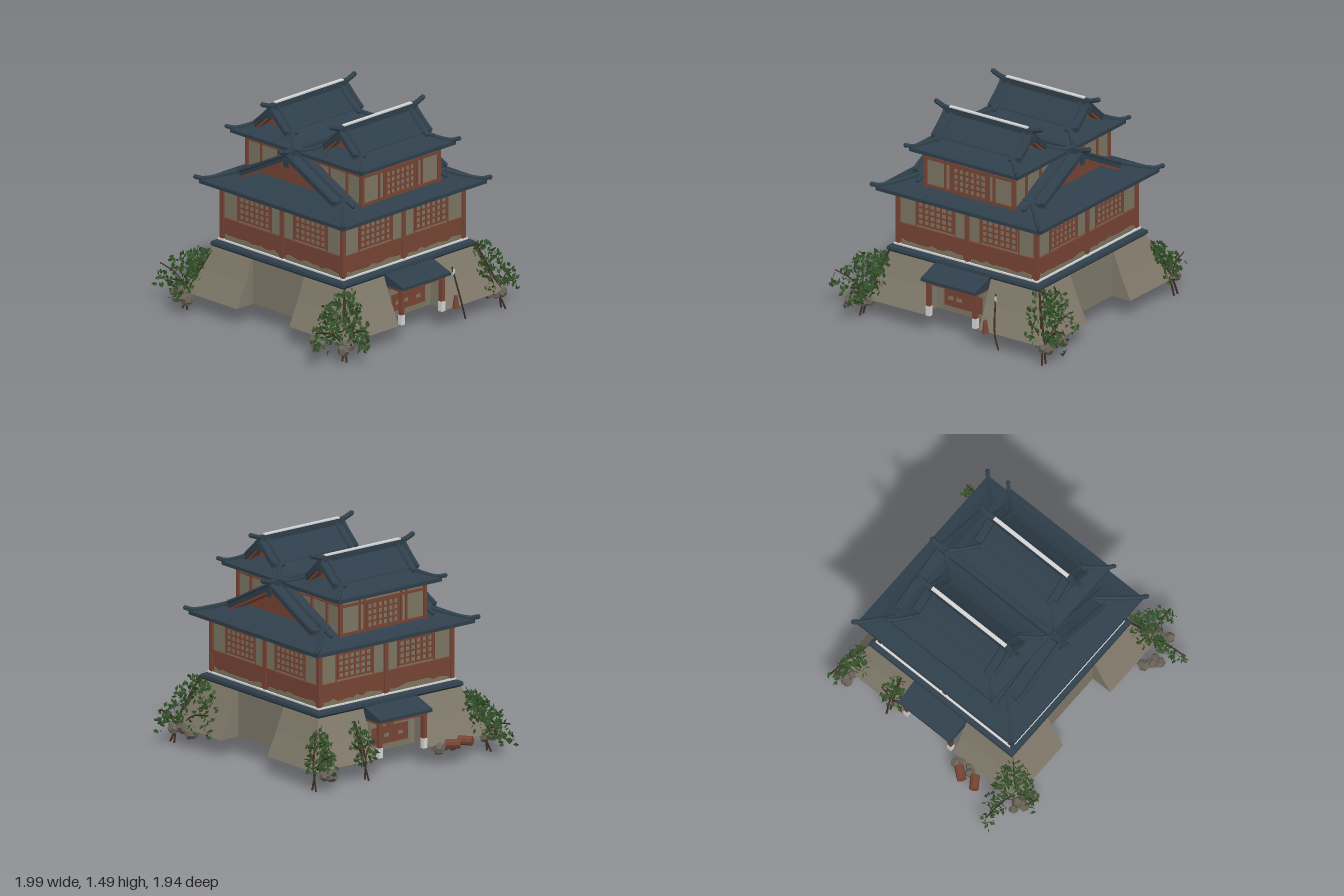
import * as THREE from 'three';
import { mergeGeometries } from 'three/addons/utils/BufferGeometryUtils.js';

const M = {};
for (const [name, color] of Object.entries({
  roofTile: 0x2f3f4b, redWood: 0x774434, plaster: 0x7c7663, stone: 0x817a6b, white: 0xd6d6d6,
  rock: 0x686157, leaf: 0x35522a, bark: 0x3f2c25,
})) {
  M[name] = new THREE.MeshStandardMaterial({ color, flatShading: true });
  M[name].name = name;
}
M.leaf.side = THREE.DoubleSide;

let seed = 7;
const rnd = () => (seed = (seed * 16807) % 2147483647) / 2147483647;
const spread = (r) => (rnd() * 2 - 1) * r;

function add(parent, name, geo, mat, x = 0, y = 0, z = 0) {
  const m = new THREE.Mesh(geo, M[mat]);
  m.name = name;
  m.position.set(x, y, z);
  parent.add(m);
  return m;
}
const box = (p, name, mat, w, h, d, x, y, z) => add(p, name, new THREE.BoxGeometry(w, h, d), mat, x, y, z);
function group(p, name, x = 0, z = 0, ry = 0) {
  const g = new THREE.Group();
  g.name = name;
  g.position.set(x, 0, z);
  g.rotation.y = ry;
  p.add(g);
  return g;
}
function tube(p, name, mat, pts, r, sides = 6) {
  const curve = new THREE.CatmullRomCurve3(pts.map((a) => new THREE.Vector3(...a)));
  const m = add(p, name, new THREE.TubeGeometry(curve, 8, r, sides), mat);
  for (const a of [pts[0], pts[pts.length - 1]]) add(p, name + 'End', new THREE.IcosahedronGeometry(r * 1.15, 0), mat, ...a);
  return m;
}

// Rectangle loop at height y, and a loft through such loops from bottom to top
const rect = (x0, x1, z0, z1, y) => [[x0, y, z1], [x1, y, z1], [x1, y, z0], [x0, y, z0]];
function loft(loops, caps = true) {
  const v = [];
  const quad = (a, b, c, d) => v.push(...a, ...b, ...c, ...a, ...c, ...d);
  for (let i = 0; i + 1 < loops.length; i++) for (let k = 0; k < 4; k++) {
    const n = (k + 1) % 4;
    quad(loops[i][k], loops[i][n], loops[i + 1][n], loops[i + 1][k]);
  }
  if (caps) {
    quad(...loops[0].slice().reverse());
    quad(...loops[loops.length - 1]);
  }
  const g = new THREE.BufferGeometry();
  g.setAttribute('position', new THREE.Float32BufferAttribute(v, 3));
  g.computeVertexNormals();
  return g;
}
function extrude(pts, half) {
  const shape = new THREE.Shape(pts.map((p) => new THREE.Vector2(...p)));
  return new THREE.ExtrudeGeometry(shape, { depth: 2 * half, bevelEnabled: false }).translate(0, 0, -half);
}

// Hip-and-gable roof: hipped skirt, gabled shell, ridges; profile lists [distance from ridge, height]
function hipGable(p, name, x, { hx, hz, inset, over, ridge, profile, lift, r }) {
  const g = group(p, name, x);
  const f = (d) => {
    let i = 1;
    while (i < profile.length - 1 && d > profile[i][0]) i++;
    const [a, b] = [profile[i - 1], profile[i]];
    return a[1] + (b[1] - a[1]) * (d - a[0]) / (b[0] - a[0]);
  };
  const loop = (t, y) => rect(-hx + t, hx - t, -hz + t, hz - t, y);
  const e = f(hx);
  add(g, 'eaveSkirt', loft([loop(0.04, e - 0.03), loop(0, e - 0.025), loop(0, e),
    ...[0.33, 0.66, 1].map((k) => loop(k * inset, f(hx - k * inset)))], false), 'roofTile');
  add(g, 'eaveSoffit', loft([loop(0.08, e - 0.05), loop(0.03, e - 0.028)]), 'redWood');
  const top = hx - inset, gz = hz - inset;
  const ds = [-1, -0.75, -0.5, -0.25, 0, 0.25, 0.5, 0.75, 1].map((k) => k * top);
  const line = (drop) => ds.map((d) => [d, f(Math.abs(d)) - drop]);
  const band = (a, b) => [...line(a), ...line(b).reverse()];
  add(g, 'gableRoof', extrude(band(-0.005, 0.025), gz + over), 'roofTile');
  add(g, 'bargeboards', extrude(band(0.025, 0.045), gz + over - 0.015), 'redWood');
  add(g, 'gableWall', extrude([...line(0.03), [top, f(top) - 0.04], [-top, f(top) - 0.04]], gz), 'redWood');
  const y0 = f(0);
  box(g, 'ridgeBeam', 'roofTile', r * 1.8, r * 2, 2 * (gz + over), 0, y0 + r * 0.7, 0);
  for (const s of [-1, 1]) {
    tube(g, 'ridgeTip', 'roofTile', [[0, y0 + r, s * (gz + over - 0.05)], [0, y0 + r * 1.3, s * (gz + over)],
      [0, y0 + lift, s * ridge]], r * 0.85);
    box(g, 'gablePendant', 'roofTile', r * 2, r * 2.6, 0.012, 0, y0 - r * 2, s * (gz + over));
    for (const t of [-1, 1]) {
      const down = (z, end) => [0, 0.33, 0.66, 1].map((k) => [t * k * end, f(k * end) + r * 0.6, s * z]);
      tube(g, 'vergeRidge', 'roofTile', down(gz, top * 1.2), r * 0.7);
      tube(g, 'vergeEdge', 'roofTile', down(gz + over - 0.01, top), r * 0.7);
      tube(g, 'hipRidge', 'roofTile', [[t * top, f(top) + r * 0.4, s * gz],
        [t * (hx - inset / 2), f(hx - inset / 2) + r * 0.4, s * (hz - inset / 2)],
        [t * (hx - 0.02), e + r * 0.4, s * (hz - 0.02)], [t * (hx + 0.015), e + r * 0.9, s * (hz + 0.015)]], r * 0.75);
    }
  }
  return g;
}

// Lattice window lying on a wall that faces +z
function lattice(p, x, y, z, w, h, cols, rows) {
  const bars = [];
  for (let i = 0; i <= cols; i++) bars.push(new THREE.BoxGeometry(0.012, h, 0.012).translate((i / cols - 0.5) * w, 0, 0));
  for (let j = 0; j <= rows; j++) bars.push(new THREE.BoxGeometry(w + 0.012, 0.012, 0.014).translate(0, (j / rows - 0.5) * h, 0));
  add(p, 'latticeWindow', mergeGeometries(bars), 'redWood', x, y, z);
}
// Ragged thin plate of exposed plaster
function patch(p, x, y, z, w, h) {
  const pts = [[-w / 2, 0], [w / 2, 0]];
  for (let i = 12; i >= 0; i--) pts.push([(i / 12 - 0.5) * w, h * (0.4 + 0.6 * rnd())]);
  add(p, 'wornPatch', extrude(pts, 0.003), 'plaster', x, y, z);
}

function stoneBase(c) {
  const g = group(c, 'stoneBase');
  box(g, 'core', 'stone', 1.2, 0.33, 1.2, 0, 0.295, 0);
  const span = (s, a, b) => (s > 0 ? [a, b] : [-b, -a]);
  for (const sx of [-1, 1]) for (const sz of [-1, 1]) {
    const at = (o, y) => rect(...span(sx, 0.245, o), ...span(sz, 0.225, o), y);
    add(g, 'cornerBastion', loft([at(0.752, 0.13), at(0.675, 0.29), at(0.607, 0.46)]), 'stone');
  }
  const ring = (o, y) => rect(-o, o, -o, o, y);
  add(c, 'copingTiles', loft([ring(0.612, 0.45), ring(0.625, 0.465), ring(0.62, 0.485), ring(0.585, 0.5)]), 'roofTile');
  box(c, 'whiteSill', 'white', 1.18, 0.012, 1.18, 0, 0.502, 0);
}

function lowerStorey(c) {
  box(c, 'lowerWalls', 'plaster', 1.13, 0.39, 1.13, 0, 0.7, 0);
  for (let k = 0; k < 4; k++) {
    const g = group(c, 'lowerFacade', 0, 0, k * Math.PI / 2);
    box(g, 'siding', 'redWood', 1.14, 0.14, 0.01, 0, 0.58, 0.567);
    box(g, 'sidingRail', 'redWood', 1.15, 0.016, 0.02, 0, 0.652, 0.57);
    box(g, 'topBeam', 'redWood', 1.16, 0.035, 0.03, 0, 0.872, 0.567);
    box(g, 'cornerPost', 'redWood', 0.03, 0.38, 0.03, -0.565, 0.695, 0.565);
    box(g, 'middlePost', 'redWood', 0.03, 0.38, 0.02, 0, 0.695, 0.57);
    for (const s of [-1, 1]) {
      lattice(g, s * 0.262, 0.762, 0.567, 0.285, 0.165, 6, 4);
      for (const o of [0.105, 0.42]) box(g, 'panelStrip', 'redWood', 0.008, 0.2, 0.01, s * o, 0.76, 0.566);
      patch(g, s * 0.285, 0.508, 0.573, 0.5, 0.04);
    }
  }
}

function tower(c, s) {
  const g = group(c, 'upperTower', s * 0.3225);
  box(g, 'upperWalls', 'plaster', 0.43, 0.3, 0.72, 0, 1.06, 0);
  for (const z of [-0.36, 0.36]) {
    for (const x of [-0.215, -0.08, 0.08, 0.215]) box(g, 'upperPost', 'redWood', Math.abs(x) > 0.1 ? 0.025 : 0.014, 0.3, 0.025, x, 1.06, z);
    for (const y of [1.165, 1.2]) box(g, 'upperRail', 'redWood', 0.44, y > 1.18 ? 0.025 : 0.01, 0.02, 0, y, z);
  }
  // Outer side with its window
  const o = group(g, 'towerSide', 0, 0, s * Math.PI / 2);
  lattice(o, 0, 1.06, 0.218, 0.27, 0.17, 6, 4);
  for (const x of [-0.2, -0.155, 0.155, 0.2]) box(o, 'sidePost', 'redWood', 0.014, 0.26, 0.02, x, 1.07, 0.215);
  for (const y of [0.965, 1.16, 1.2]) box(o, 'sideRail', 'redWood', 0.73, 0.018, 0.02, 0, y, 0.215);
  hipGable(c, 'upperRoof', s * 0.3225, {
    hx: 0.295, hz: 0.445, inset: 0.15, over: 0.07, ridge: 0.43, lift: 0.05, r: 0.02,
    profile: [[0, 1.425], [0.07, 1.355], [0.145, 1.29], [0.22, 1.25], [0.295, 1.235]],
  });
  box(g, 'whiteRidgeCap', 'white', 0.026, 0.012, 0.64, 0, 1.462, 0);
}

// Gate with awning on one side, built facing +z
function gate(c, ry) {
  const g = group(c, 'sideGate', 0, 0, ry);
  add(g, 'awning', loft([rect(-0.225, 0.225, 0.57, 0.79, 0.385), rect(-0.225, 0.225, 0.57, 0.79, 0.405), rect(-0.225, 0.225, 0.56, 0.6, 0.47)]), 'roofTile');
  box(g, 'awningBeam', 'redWood', 0.42, 0.025, 0.03, 0, 0.372, 0.74);
  for (const x of [-0.19, 0.19]) {
    box(g, 'gatePost', 'redWood', 0.03, 0.25, 0.03, x, 0.255, 0.74);
    box(g, 'postShoe', 'white', 0.034, 0.07, 0.034, x, 0.165, 0.74);
    box(g, 'bracket', 'redWood', 0.025, 0.025, 0.17, x, 0.372, 0.67);
  }
  box(g, 'doorPanel', 'plaster', 0.34, 0.23, 0.012, 0, 0.255, 0.606);
  box(g, 'doorBoards', 'redWood', 0.31, 0.12, 0.008, 0, 0.235, 0.612);
  box(g, 'doorHead', 'redWood', 0.26, 0.035, 0.008, 0, 0.345, 0.612);
  box(g, 'doorStile', 'redWood', 0.06, 0.08, 0.008, 0, 0.31, 0.612);
  for (const x of [-0.1, -0.03, 0.09]) patch(g, x, 0.22, 0.617, 0.04, 0.03);
}

// Climbing plant: arms are [dx, dz, length], each a fan of leaves
function plant(root, x, z, inX, inZ, height, arms) {
  const g = group(root, 'climbingPlant', x, z);
  const v = [];
  for (const [dx, dz, len] of arms) {
    tube(g, 'branch', 'bark', [[0, 0.1, 0], [dx * len * 0.4, 0.22, dz * len * 0.4], [dx * len * 0.85, 0.26, dz * len * 0.85]], 0.005, 4);
    for (let i = 0, n = 50 + len * 340; i < n; i++) {
      const a = rnd() * 1.5, r = Math.sqrt(rnd());
      const u = r * Math.cos(a) * len, h = r * Math.sin(a);
      const o = new THREE.Vector3(dx * u + inX * h * 0.09 + dz * spread(0.04), 0.13 + h * height + spread(0.03), dz * u + inZ * h * 0.09 + dx * spread(0.04));
      const q = new THREE.Quaternion().setFromEuler(new THREE.Euler(spread(1.2), spread(3.1), spread(1.5)));
      const [A, B, C, D] = [[0, -0.022, 0], [0.014, 0, 0.004], [0, 0.022, 0], [-0.014, 0, 0.004]]
        .map((c) => new THREE.Vector3(...c).applyQuaternion(q).add(o).toArray());
      v.push(...A, ...B, ...C, ...A, ...C, ...D);
    }
  }
  const geo = new THREE.BufferGeometry();
  geo.setAttribute('position', new THREE.Float32BufferAttribute(v, 3));
  geo.computeVertexNormals();
  add(g, 'leaves', geo, 'leaf');
  for (const k of [-1, 1]) tube(g, 'stem', 'bark', [[-inX * 0.03 + k * 0.02, 0.012, -inZ * 0.03], [0, 0.16, k * 0.01], [inX * 0.1, 0.13 + height, inZ * 0.1]], 0.007, 5);
}
function rocks(root, x, z, rx, rz, n) {
  for (let i = 0; i < n; i++) {
    const s = 0.032 + rnd() * 0.018;
    const m = add(root, 'rock', new THREE.DodecahedronGeometry(s, 0), 'rock', x + spread(rx), 0.115 + spread(0.012), z + spread(rz));
    m.scale.set(1, 0.9, 0.85);
    m.rotation.set(rnd(), rnd() * 6, rnd());
  }
}

export function createModel() {
  const root = new THREE.Group();
  root.name = 'castleKeep';
  const c = group(root, 'keep', 0.05, -0.057);
  stoneBase(c);
  lowerStorey(c);
  hipGable(c, 'mainRoof', 0, {
    hx: 0.68, hz: 0.675, inset: 0.24, over: 0.1, ridge: 0.585, lift: 0.045, r: 0.022,
    profile: [[0, 1.215], [0.13, 1.15], [0.257, 1.082], [0.444, 0.99], [0.56, 0.945], [0.68, 0.918]],
  });
  for (const s of [-1, 1]) {
    tower(c, s);
    gate(c, s * Math.PI / 2);
  }
  // Plants and rocks around the corners
  plant(root, -0.66, 0.66, 1, -1, 0.29, [[-1, 0, 0.34], [0, 1, 0.2], [0, -1, 0.1]]);
  plant(root, 0.77, 0.65, -1, -1, 0.32, [[1, 0, 0.23], [0, 1, 0.31], [-1, 0, 0.12], [0, -1, 0.1]]);
  plant(root, 0.77, -0.785, -1, 1, 0.34, [[-1, 0, 0.36], [0, -1, 0.19], [0, 1, 0.12]]);
  plant(root, -0.67, -0.785, 1, 1, 0.26, [[-1, 0, 0.19], [1, 0, 0.07], [0, 1, 0.14]]);
  plant(root, -0.69, -0.38, 1, 0, 0.25, [[0, 1, 0.1], [0, -1, 0.1]]);
  rocks(root, -0.68, 0.73, 0.09, 0.06, 9);
  rocks(root, 0.62, 0.77, 0.07, 0.05, 6);
  rocks(root, 0.83, 0.68, 0.04, 0.08, 5);
  rocks(root, 0.72, -0.8, 0.13, 0.05, 9);
  rocks(root, -0.74, -0.74, 0.05, 0.04, 5);
  rocks(root, -0.72, 0.28, 0.03, 0.07, 4);
  // Fallen barrels and a dry stalk by the wall
  for (const [x, z, a] of [[-0.79, 0.3, 0.9], [-0.78, 0.415, 0.6]]) {
    add(root, 'fallenBarrel', new THREE.CylinderGeometry(0.032, 0.032, 0.1, 10).rotateZ(Math.PI / 2).rotateY(a), 'redWood', x, 0.15, z);
  }
  tube(root, 'dryStalk', 'bark', [[0.81, 0.03, -0.45], [0.81, 0.13, -0.42], [0.75, 0.39, -0.385]], 0.006, 5);
  box(root, 'stalkTag', 'white', 0.008, 0.04, 0.012, 0.76, 0.36, -0.39);
  add(root, 'smallJar', new THREE.CylinderGeometry(0.012, 0.024, 0.09, 8), 'redWood', 0.82, 0.175, -0.35);
  return root;
}
